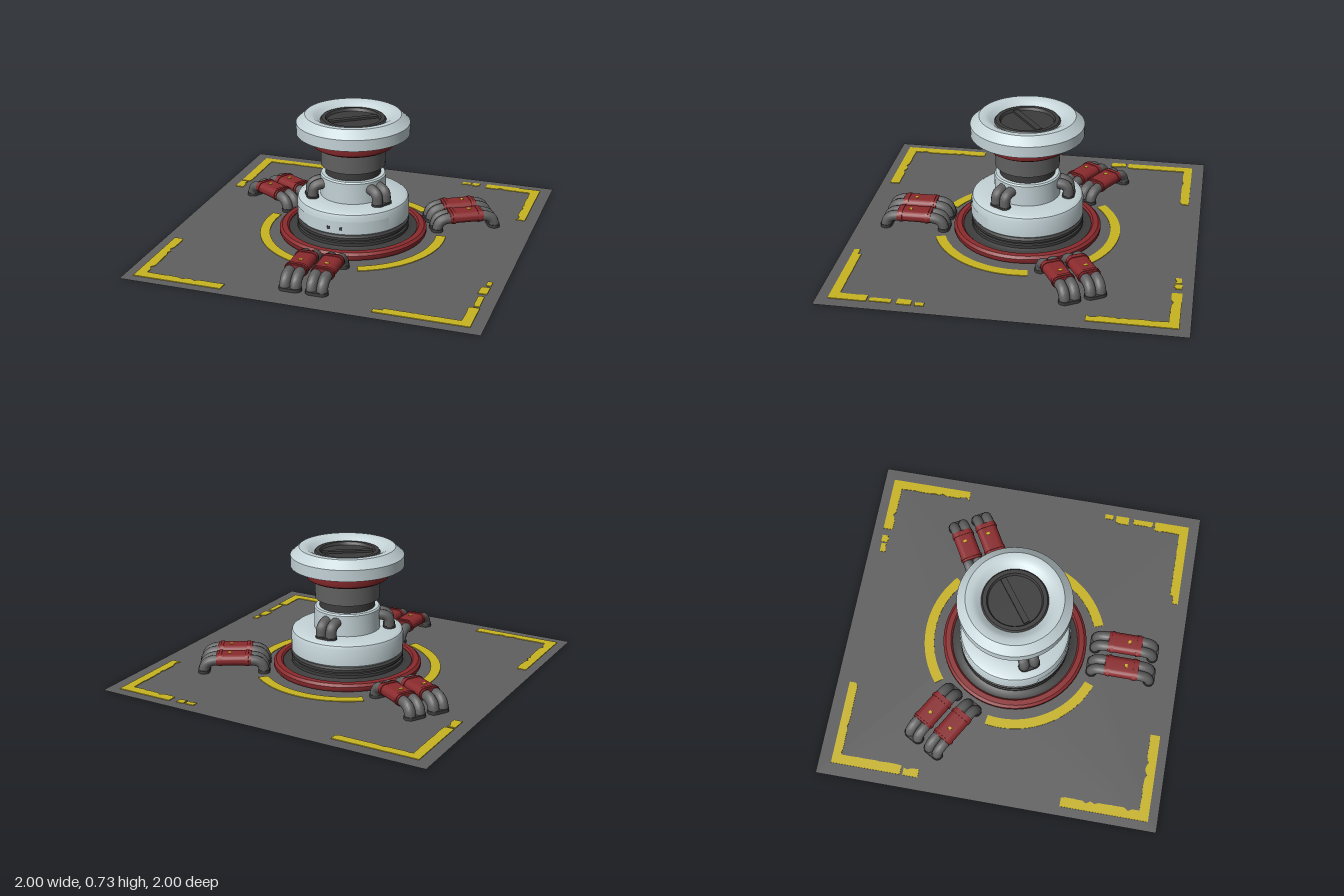
import * as THREE from 'three';
import { toCreasedNormals } from 'three/addons/utils/BufferGeometryUtils.js';

const paint = (name, color) => {
  const m = new THREE.MeshStandardMaterial({ color, side: THREE.DoubleSide });
  m.name = name;
  return m;
};

export function createModel() {
  const floorGrey = paint('floor grey', 0x5f5f5f);
  const yellow = paint('marking yellow', 0xc9b422);
  const red = paint('deep red', 0x8a2a2d);
  const white = paint('pale blue white', 0xc4d3d7);
  const dark = paint('dark grey', 0x3c3c3c);
  const pipeGrey = paint('pipe grey', 0x606060);

  const model = new THREE.Group();
  model.name = 'floorMountedPost';

  const add = (parent, name, geometry, material) => {
    const mesh = new THREE.Mesh(geometry, material);
    mesh.name = name;
    parent.add(mesh);
    return mesh;
  };
  const turned = (name, profile, material) => {
    const g = new THREE.LatheGeometry(profile.map(([r, y]) => new THREE.Vector2(r, y)), 64);
    return add(model, name, toCreasedNormals(g, 0.6), material);
  };
  // Flat shape laid on the ground, with a small upward thickness
  const slab = (shape, depth) =>
    new THREE.ExtrudeGeometry(shape, { depth, bevelEnabled: false, curveSegments: 32 }).rotateX(-Math.PI / 2);

  // Floor plate with a round opening under the post
  const square = new THREE.Shape([[-1, -1], [1, -1], [1, 1], [-1, 1]].map(([x, y]) => new THREE.Vector2(x, y)));
  square.holes.push(new THREE.Path().absarc(0, 0, 0.4, 0, Math.PI * 2, true));
  add(model, 'floorPlate', new THREE.ShapeGeometry(square, 64).rotateX(-Math.PI / 2), floorGrey).position.y = 0.004;

  // Three curved floor markings
  const arc = new THREE.Shape();
  const a0 = THREE.MathUtils.degToRad(51), a1 = THREE.MathUtils.degToRad(129);
  arc.absarc(0, 0, 0.545, a0, a1, false);
  arc.absarc(0, 0, 0.488, a1, a0, true);
  for (let i = 0; i < 3; i++) {
    add(model, 'arcMarking', slab(arc, 0.008), yellow).rotation.y = i * Math.PI * 2 / 3;
  }

  // Worn corner stripes: one straight edge, one ragged edge
  let seed = 7;
  const random = () => (seed = (seed * 16807) % 2147483647) / 2147483647;
  const stripe = (x, z, length, width, alongZ) => {
    const at = (u, v) => alongZ ? new THREE.Vector2(x + v, -z - u) : new THREE.Vector2(x + u, -z - v);
    const steps = Math.max(4, Math.round(Math.abs(length) / 0.025));
    const points = [at(0, 0), at(length, 0)];
    for (let i = steps; i >= 0; i--) {
      const wear = random() < 0.25 ? 0.3 : 0.06;
      points.push(at(length * i / steps, width * (1 - wear * random())));
    }
    add(model, 'cornerMarking', slab(new THREE.Shape(points), 0.008), yellow);
  };
  [
    [-0.925, -0.925, 0.5, 0.053, false], [-0.925, -0.925, 0.41, 0.058, true], [-0.925, -0.5, 0.09, 0.05, true],
    [0.93, -0.94, -0.34, 0.058, false], [0.545, -0.935, -0.045, 0.05, false], [0.49, -0.93, -0.055, 0.035, false],
    [0.93, -0.94, 0.49, -0.057, true],
    [-0.945, 0.945, 0.515, -0.058, false], [-0.945, 0.945, -0.515, 0.06, true],
    [0.93, 0.935, -0.47, -0.055, false], [0.46, 0.935, -0.05, -0.035, false],
    [0.93, 0.935, -0.21, -0.058, true], [0.925, 0.71, -0.12, -0.035, true],
    [0.93, 0.56, -0.08, -0.05, true], [0.93, 0.46, -0.05, -0.03, true],
  ].forEach(s => stripe(...s));

  // Post, from the ground up
  turned('baseRing', [[0.375, 0.012], [0.425, 0.012], [0.43, 0.02], [0.43, 0.04], [0.415, 0.053],
    [0.385, 0.055], [0.375, 0.045], [0.375, 0.012]], red);
  turned('baseSkirt', [[0.378, 0.04], [0.345, 0.04], [0.325, 0.05], [0.325, 0.068], [0.314, 0.072],
    [0.314, 0.08], [0.325, 0.084], [0.325, 0.1], [0.31, 0.11]], dark);
  turned('collar', [[0.31, 0.108], [0.325, 0.122], [0.325, 0.22], [0.318, 0.238], [0.3, 0.25],
    [0.19, 0.25], [0.19, 0.372], [0.182, 0.38], [0.16, 0.38]], white);
  turned('neck', [[0.16, 0.38], [0.16, 0.43]], dark);
  turned('neckSleeve', [[0.16, 0.43], [0.185, 0.43], [0.185, 0.535], [0.16, 0.54]], pipeGrey);
  turned('upperRing', [[0.17, 0.538], [0.215, 0.542], [0.233, 0.553], [0.24, 0.572], [0.24, 0.62]], red);
  turned('cap', [[0.23, 0.62], [0.325, 0.62], [0.325, 0.685], [0.275, 0.73], [0.24, 0.73],
    [0.215, 0.718], [0.185, 0.695]], white);
  turned('capDish', [[0.19, 0.695], [0.18, 0.708], [0.158, 0.708], [0.15, 0.692], [0, 0.692]], dark);
  const bar = add(model, 'dishBar', new THREE.BoxGeometry(0.29, 0.012, 0.034), dark);
  bar.position.y = 0.698;
  bar.rotation.y = 0.64;

  // Raised panel on the collar, with two small marks
  const half = THREE.MathUtils.degToRad(56);
  add(model, 'collarPanel',
    new THREE.CylinderGeometry(0.329, 0.329, 0.07, 40, 1, true, -half, half * 2), white).position.y = 0.165;
  for (const x of [-0.037, 0.035]) {
    add(model, 'collarMark', new THREE.BoxGeometry(0.018, 0.018, 0.004), dark).position.set(x, 0.157, 0.328);
  }

  // Paired pipes and the rounded bands that wrap them
  const tube = (parent, name, x, path) => {
    const v = ([z, y]) => new THREE.Vector3(x, y, z);
    const curve = new THREE.CurvePath();
    let start = v(path[0]);
    for (let i = 1; i < path.length - 1; i += 2) {
      const end = v(path[i + 1]);
      curve.add(new THREE.QuadraticBezierCurve3(start, v(path[i]), end));
      start = end;
    }
    add(parent, name, new THREE.TubeGeometry(curve, 28, 0.031, 12), pipeGrey);
  };
  const stadium = r => {
    const s = new THREE.Shape();
    s.absarc(0.03, 0, r, -Math.PI / 2, Math.PI / 2, false);
    s.absarc(-0.03, 0, r, Math.PI / 2, Math.PI * 1.5, false);
    return s;
  };
  const band = (parent, name, x, z, length, r) => {
    const g = new THREE.ExtrudeGeometry(stadium(r), { depth: length, bevelEnabled: false, curveSegments: 10 });
    add(parent, name, toCreasedNormals(g, 0.6), red).position.set(x, 0.08, z);
  };

  for (let i = 0; i < 3; i++) {
    // Ground pipes
    const ground = new THREE.Group();
    ground.name = 'groundPipes';
    ground.rotation.y = i * Math.PI * 2 / 3;
    for (const side of [-1, 1]) {
      const x = side * 0.075;
      for (const dx of [-0.03, 0.03]) {
        tube(ground, 'groundPipe', x + dx,
          [[0.482, 0.01], [0.482, 0.078], [0.56, 0.078], [0.655, 0.078], [0.75, 0.078], [0.828, 0.078], [0.828, 0.01]]);
      }
      band(ground, 'pipeSleeve', x, 0.555, 0.2, 0.033);
      band(ground, 'sleeveBand', x, 0.57, 0.018, 0.037);
      band(ground, 'sleeveBand', x, 0.724, 0.018, 0.037);
      for (const z of [0.482, 0.828]) {
        add(ground, 'pipeFoot', slab(stadium(0.034), 0.018), dark).position.set(x, 0.004, z);
      }
      add(ground, 'sleeveMark', new THREE.BoxGeometry(0.02, 0.003, 0.016), yellow)
        .position.set(x + 0.005, 0.114, 0.68);
    }
    model.add(ground);

    // Short pipes bending from the collar into the neck
    const upper = new THREE.Group();
    upper.name = 'neckPipes';
    upper.rotation.y = Math.PI / 3 + i * Math.PI * 2 / 3;
    for (const x of [-0.031, 0.031]) {
      tube(upper, 'neckPipe', x, [[0.242, 0.245], [0.242, 0.285], [0.24, 0.295], [0.235, 0.33], [0.165, 0.33]]);
    }
    add(upper, 'neckPipeFoot', slab(stadium(0.035), 0.014), dark).position.set(0, 0.247, 0.242);
    model.add(upper);
  }

  return model;
}
